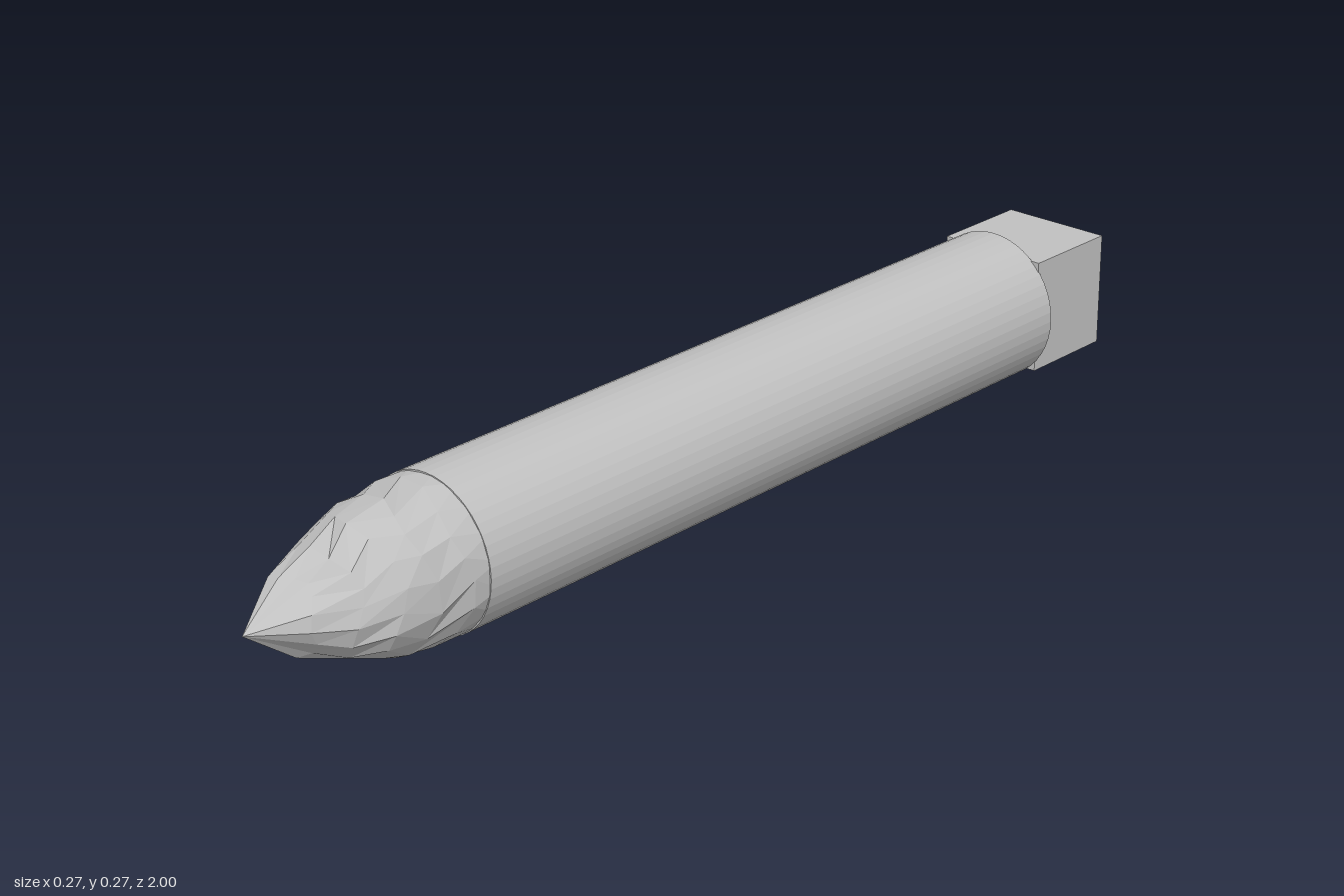
import * as THREE from 'three';

const R = 0.134; // body radius, also the height of the axis

export function createModel() {
  const model = new THREE.Group();
  const grey = new THREE.MeshStandardMaterial({ color: 0xc0c0c0, flatShading: true });
  grey.name = 'grey';

  const add = (name, geometry, z = 0) => {
    const mesh = new THREE.Mesh(geometry, grey);
    mesh.name = name;
    mesh.position.set(0, R, z);
    model.add(mesh);
  };

  // Cylinder along z between two depths
  const rod = (name, radius, z0, z1, sides) => {
    const g = new THREE.CylinderGeometry(radius, radius, z1 - z0, sides);
    add(name, g.rotateX(Math.PI / 2), (z0 + z1) / 2);
  };

  rod('body', R, -0.76, 0.63, 48);

  // Pointed nose with hewn, irregular facets
  const profile = [
    [R - 0.001, 0.61], [0.1325, 0.67], [0.126, 0.735], [0.115, 0.79],
    [0.093, 0.85], [0.064, 0.91], [0, 1],
  ].map(([r, z]) => new THREE.Vector2(r, z));
  const sides = 18;
  const nose = new THREE.LatheGeometry(profile, sides);
  const p = nose.attributes.position;
  const rings = profile.length;
  for (let i = 0; i < p.count; i++) {
    const ring = i % rings;
    if (ring === 0 || ring === rings - 1) continue;
    const k = Math.floor(i / rings) % sides;
    const wobble = Math.sin(k * 7.3 + ring * 4.1);
    const turn = ((ring % 2) * 0.5 + wobble * 0.2) * (2 * Math.PI / sides);
    const a = k * 2 * Math.PI / sides + turn;
    const r = profile[ring].x * (1 + 0.012 * Math.sin(k * 3.7 + ring * 2.9));
    const rr = Math.min(r, R - 0.001);
    p.setXYZ(i, rr * Math.sin(a), profile[ring].y + 0.014 * Math.cos(k * 5.1 + ring), rr * Math.cos(a));
  }
  nose.rotateX(Math.PI / 2);
  nose.computeVertexNormals();
  add('nose', nose);

  // Square tail block with a stepped plug
  add('tailBlock', new THREE.BoxGeometry(0.206, 0.206, 0.19), -0.853);
  rod('plugCollar', 0.05, -0.983, -0.94, 24);
  rod('plugTip', 0.031, -1, -0.975, 12);

  return model;
}
